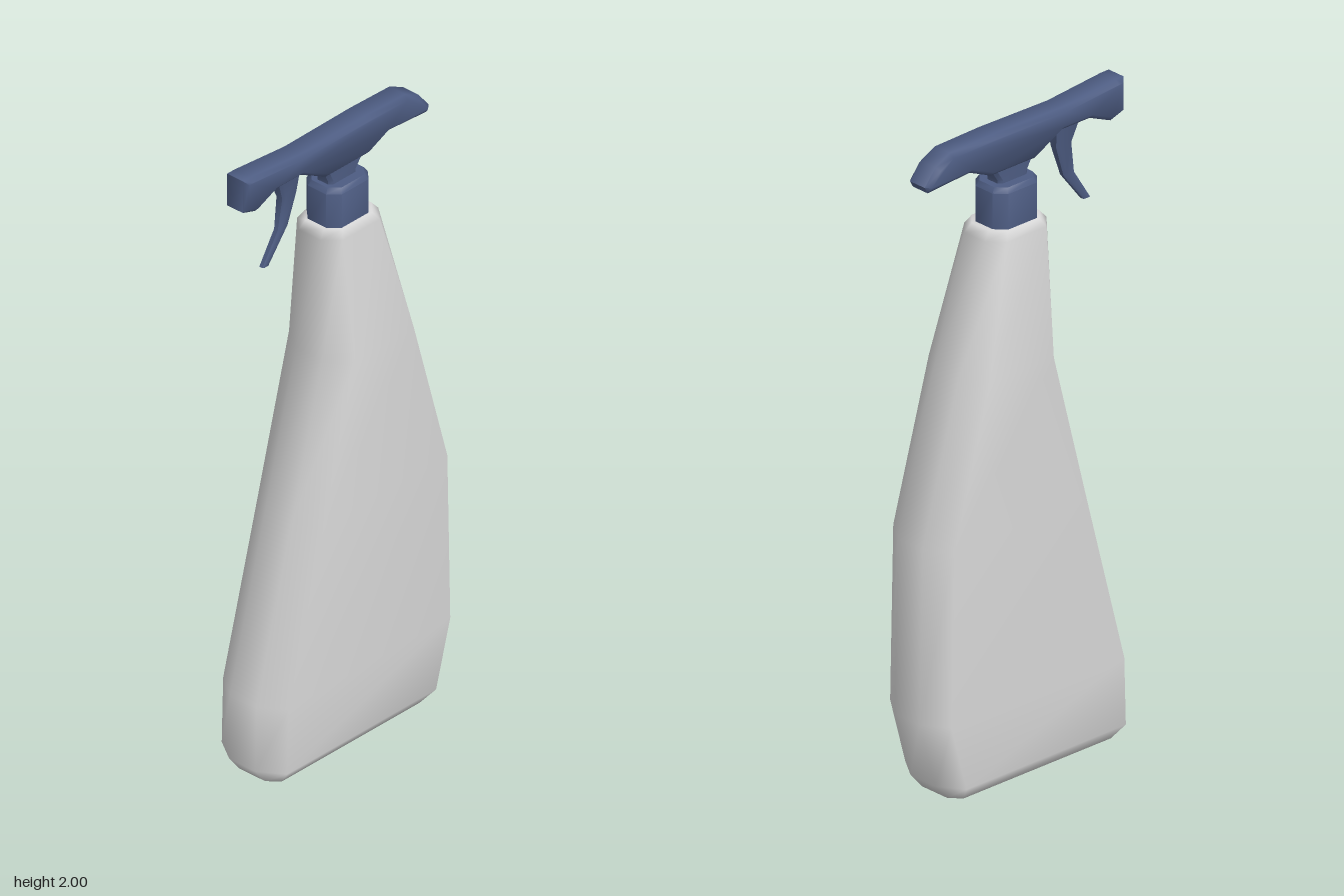
import * as THREE from 'three';
import { toCreasedNormals } from 'three/addons/utils/BufferGeometryUtils.js';

// Skin a stack of chamfered rectangles: [y, zBack, zFront, halfWidth, chamferX, chamferZ]
function loft(rings) {
  const pos = [], index = [], n = 8;
  for (const [y, b, f, w, cx, cz] of rings) {
    const c = w - cx;
    const ring = [[-c, f], [c, f], [w, f - cz], [w, b + cz], [c, b], [-c, b], [-w, b + cz], [-w, f - cz]];
    for (const [x, z] of ring) pos.push(x, y, z);
  }
  for (let r = 0; r < rings.length - 1; r++) {
    for (let i = 0; i < n; i++) {
      const a = r * n + i, b = r * n + (i + 1) % n;
      index.push(a, b, b + n, a, b + n, a + n);
    }
  }
  const t = (rings.length - 1) * n;
  for (let i = 1; i < n - 1; i++) {
    index.push(0, i + 1, i);
    index.push(t, t + i, t + i + 1);
  }
  const g = new THREE.BufferGeometry();
  g.setAttribute('position', new THREE.Float32BufferAttribute(pos, 3));
  g.setIndex(index);
  g.computeVertexNormals();
  return g;
}

export function createModel() {
  const group = new THREE.Group();
  const bottlePlastic = new THREE.MeshStandardMaterial({ name: 'bottlePlastic', color: 0xd6d6d6 });
  const sprayerPlastic = new THREE.MeshStandardMaterial({ name: 'sprayerPlastic', color: 0x4d5c82 });
  const add = (name, geometry, material) => {
    const mesh = new THREE.Mesh(geometry, material);
    mesh.name = name;
    group.add(mesh);
  };

  // Bottle: broad base, leaning front and back, narrow shoulders
  add('bottle', loft([
    [0, -0.295, 0.33, 0.085, 0.035, 0.03],
    [0.05, -0.34, 0.37, 0.125, 0.075, 0.05],
    [0.26, -0.4, 0.366, 0.125, 0.075, 0.052],
    [0.8, -0.388, 0.222, 0.125, 0.075, 0.052],
    [1.28, -0.252, 0.096, 0.125, 0.075, 0.052],
    [1.67, -0.142, 0.094, 0.087, 0.045, 0.042],
    [1.695, -0.12, 0.073, 0.073, 0.038, 0.036],
  ]), bottlePlastic);

  // Screw collar with a chamfered top edge
  add('collar', toCreasedNormals(loft([
    [1.685, -0.106, 0.064, 0.067, 0.032, 0.03],
    [1.805, -0.106, 0.064, 0.067, 0.032, 0.03],
    [1.82, -0.095, 0.053, 0.058, 0.028, 0.026],
  ]), 0.9), sprayerPlastic);

  // Neck flaring up into the head
  add('neck', toCreasedNormals(loft([
    [1.81, -0.073, 0.04, 0.03, 0.01, 0.012],
    [1.83, -0.073, 0.04, 0.03, 0.01, 0.012],
    [1.87, -0.1, 0.06, 0.032, 0.01, 0.012],
  ]), 0.7), sprayerPlastic);

  // Spray head: side outline (z, y) extruded across the width
  const outline = [
    [0.4, 2.0], [0.4, 1.896], [0.35, 1.88], [0.27, 1.914], [0.165, 1.914], [0.06, 1.86],
    [-0.108, 1.86], [-0.19, 1.896], [-0.35, 1.885], [-0.361, 1.905], [-0.32, 1.955],
    [-0.265, 1.982], [-0.1, 1.986], [0.165, 1.982], [0.37, 2.0],
  ];
  const head = new THREE.ExtrudeGeometry(
    new THREE.Shape(outline.map(([z, y]) => new THREE.Vector2(-z, y))),
    { depth: 0.06, bevelEnabled: true, bevelThickness: 0.013, bevelSize: 0.013, bevelOffset: -0.013, bevelSegments: 1 });
  head.translate(0, 0, -0.03);
  head.rotateY(Math.PI / 2);
  add('sprayHead', toCreasedNormals(head, 0.9), sprayerPlastic);

  // Trigger curving forward, thinner at the tip
  add('trigger', toCreasedNormals(loft([
    [1.655, 0.268, 0.294, 0.009, 0.003, 0.005],
    [1.752, 0.192, 0.232, 0.011, 0.004, 0.008],
    [1.85, 0.16, 0.218, 0.016, 0.005, 0.01],
    [1.925, 0.154, 0.245, 0.028, 0.008, 0.012],
  ]), 0.7), sprayerPlastic);

  return group;
}
